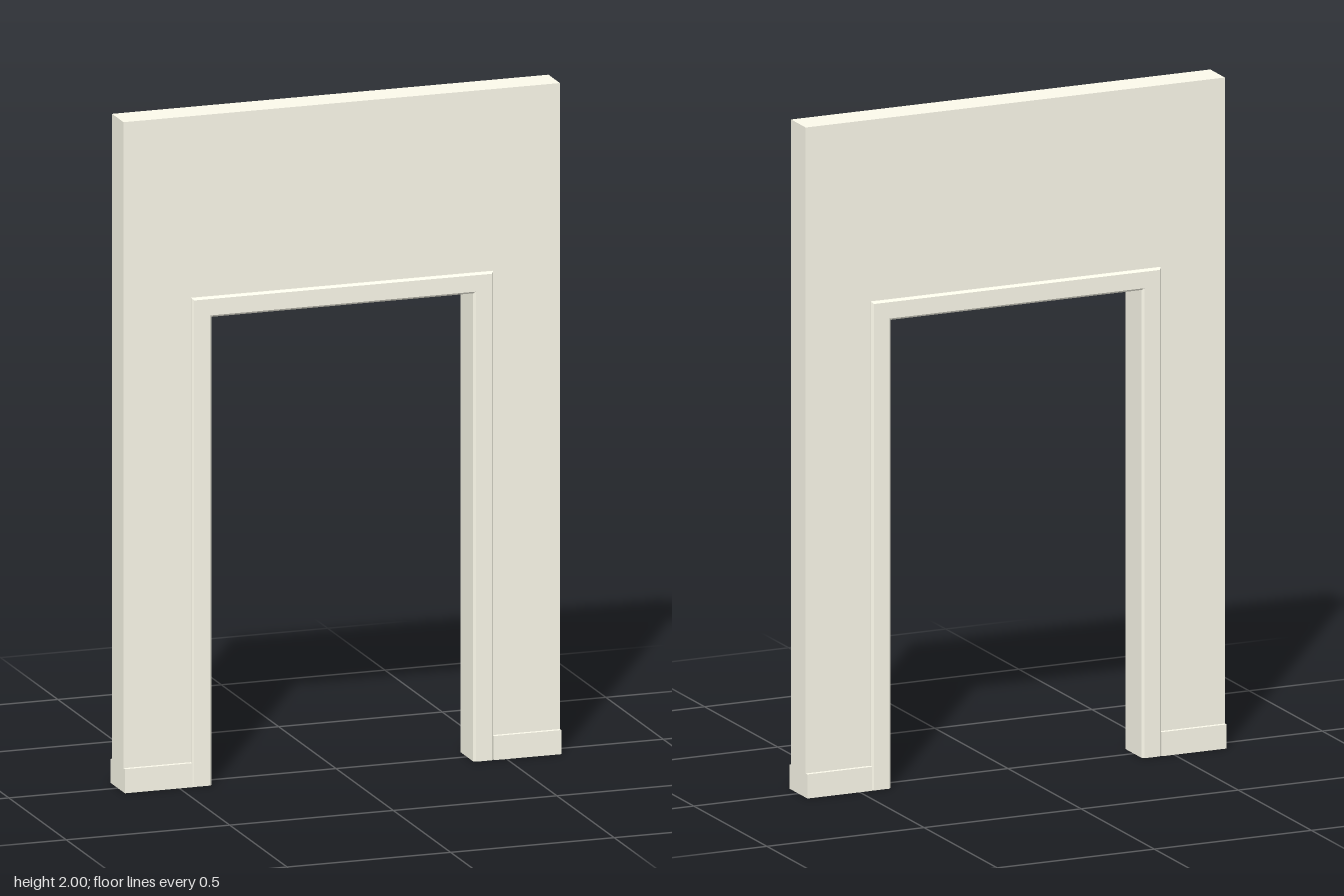
import * as THREE from 'three';

const HALF_W = 0.667, HEIGHT = 2, WALL_Z = 0.05;   // wall panel
const OPEN_X = 0.4, OPEN_Y = 1.397;                // clear opening
const TRIM_X = 0.461, TRIM_Y = 1.458, TRIM_Z = 0.061, BEVEL = 0.006;
const BASE_H = 0.072, BASE_Z = 0.062;

// Upside-down U outline standing on y = 0
function portal(outX, outY, inX, inY) {
  return new THREE.Shape([
    [-outX, 0], [-inX, 0], [-inX, inY], [inX, inY],
    [inX, 0], [outX, 0], [outX, outY], [-outX, outY],
  ].map(([x, y]) => new THREE.Vector2(x, y)));
}

export function createModel() {
  const group = new THREE.Group();
  const material = new THREE.MeshStandardMaterial({ color: 0xfbf9ea });
  const add = (name, geometry) => {
    const mesh = new THREE.Mesh(geometry, material);
    mesh.name = name;
    group.add(mesh);
    return mesh;
  };

  // Wall panel, its cut edge hidden inside the door frame
  const wall = new THREE.ExtrudeGeometry(
    portal(HALF_W, HEIGHT, (OPEN_X + TRIM_X) / 2, (OPEN_Y + TRIM_Y) / 2),
    { depth: 2 * WALL_Z, bevelEnabled: false });
  wall.translate(0, 0, -WALL_Z);
  add('wall', wall);

  // Door frame lining the opening, with small bevels on both faces
  const frame = new THREE.ExtrudeGeometry(portal(TRIM_X, TRIM_Y, OPEN_X, OPEN_Y), {
    depth: 2 * (TRIM_Z - BEVEL), bevelThickness: BEVEL, bevelSize: BEVEL,
    bevelOffset: -BEVEL, bevelSegments: 1,
  });
  frame.translate(0, 0, -(TRIM_Z - BEVEL));
  // Square off the feet so the frame stands flat on the floor
  const p = frame.attributes.position;
  for (let i = 0; i < p.count; i++) if (p.getY(i) < 2 * BEVEL) p.setY(i, 0);
  frame.computeVertexNormals();
  add('doorFrame', frame);

  // Baseboards on both faces, either side of the frame
  const length = HALF_W - TRIM_X, thick = BASE_Z - WALL_Z;
  for (const sx of [1, -1]) for (const sz of [1, -1]) {
    const board = add(`${sz > 0 ? 'front' : 'back'}${sx > 0 ? 'Left' : 'Right'}Baseboard`,
      new THREE.BoxGeometry(length, BASE_H, thick));
    board.position.set(sx * (TRIM_X + length / 2), BASE_H / 2, sz * (WALL_Z + thick / 2));
  }
  return group;
}
